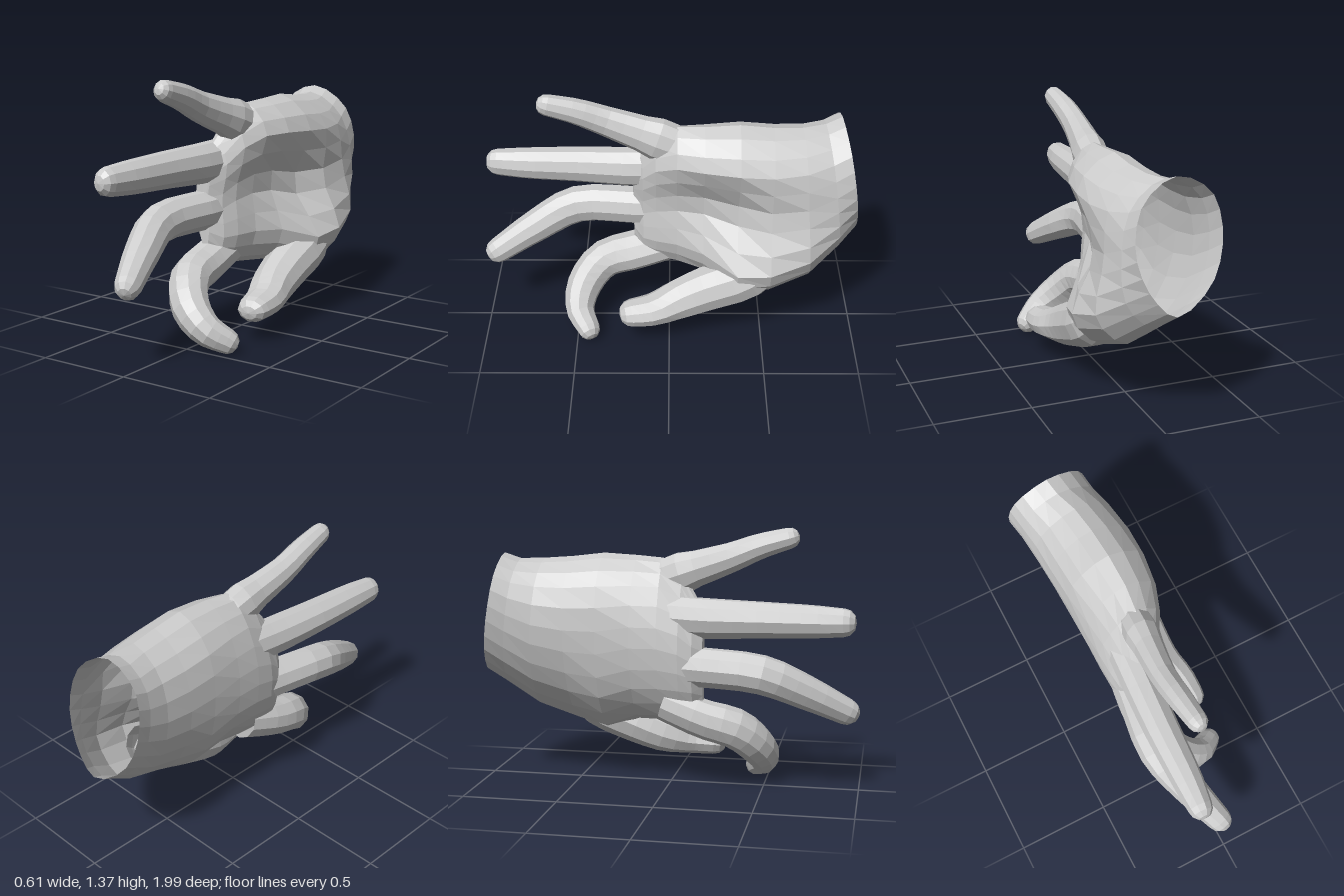
import * as THREE from 'three';

const V = (x, y, z) => new THREE.Vector3(x, y, z);
const material = new THREE.MeshStandardMaterial({ color: 0xcccccc, flatShading: true, side: THREE.DoubleSide });

// Skin a list of equal-length rings; the last ring is closed by a fan to the given tip.
function loft(name, rings, tip) {
  const n = rings[0].length;
  const index = [];
  for (let r = 0; r < rings.length - 1; r++) {
    for (let i = 0; i < n; i++) {
      const j = (i + 1) % n;
      const a = r * n + i, b = r * n + j, c = a + n, d = b + n;
      index.push(a, b, d, a, d, c);
    }
  }
  const last = (rings.length - 1) * n;
  for (let i = 0; i < n; i++) index.push(last + i, last + (i + 1) % n, rings.length * n);
  const geometry = new THREE.BufferGeometry().setFromPoints([...rings.flat(), tip]);
  geometry.setIndex(index);
  geometry.computeVertexNormals();
  const mesh = new THREE.Mesh(geometry, material);
  mesh.name = name;
  return mesh;
}

// Finger along a smooth path. Each joint: x, y, z, radius along ref, radius across it.
function finger(name, joints, ref, sides = 10, steps = 10) {
  const path = new THREE.CatmullRomCurve3(joints.map(([x, y, z]) => V(x, y, z)));
  const radii = new THREE.CatmullRomCurve3(joints.map((j) => V(j[3], j[4], 0)));
  const ring = (t, scale, push) => {
    const p = path.getPoint(t), dir = path.getTangent(t), r = radii.getPoint(t);
    const u = ref.clone().addScaledVector(dir, -ref.dot(dir)).normalize();
    const v = dir.clone().cross(u);
    p.addScaledVector(dir, push * Math.min(r.x, r.y));
    return Array.from({ length: sides }, (_, i) => {
      const a = (i / sides) * Math.PI * 2;
      return p.clone().addScaledVector(u, Math.cos(a) * r.x * scale).addScaledVector(v, Math.sin(a) * r.y * scale);
    });
  };
  const rings = [];
  for (let i = 0; i <= steps; i++) rings.push(ring(i / steps, 1, 0));
  // rounded fingertip
  rings.push(ring(1, 0.87, 0.5), ring(1, 0.52, 0.88));
  const end = joints[joints.length - 1];
  const tip = path.getPoint(1).addScaledVector(path.getTangent(1), Math.min(end[3], end[4]));
  return loft(name, rings, tip);
}

// Hand body cross-section: bottom and top height, then palm-side and back-side x (low, mid, high).
function palmRing([z, y0, y1, pl, pm, ph, bl, bm, bh, tilt], sides = 22) {
  const y = (f) => y0 + (y1 - y0) * f;
  const outline = [
    [pl * 0.6 + bl * 0.4, y(0)], [pl, y(0.18)], [pm, y(0.5)], [ph, y(0.83)],
    [ph * 0.5 + bh * 0.5, y(1)], [bh, y(0.86)], [bm, y(0.54)], [bl, y(0.2)],
  ].map(([px, py]) => V(px, py, z + tilt * (0.17 * (py - 0.9) - 0.08 * (px + 0.08))));
  const curve = new THREE.CatmullRomCurve3(outline, true, 'centripetal');
  return Array.from({ length: sides }, (_, i) => curve.getPoint(i / sides));
}

export function createModel() {
  const hand = new THREE.Group();
  hand.name = 'hand';

  // Wrist, palm and back of the hand, open at the wrist
  const stations = [
    [-0.94, 0.59, 1.23, 0.08, 0.15, 0.10, -0.24, -0.31, -0.26, 1],
    [-0.84, 0.51, 1.2, 0.16, 0.18, 0.12, -0.2, -0.285, -0.24, 0.8],
    [-0.7, 0.38, 1.2, 0.25, 0.21, 0.17, -0.15, -0.265, -0.21, 0.4],
    [-0.53, 0.3, 1.21, 0.295, 0.19, 0.2, -0.13, -0.25, -0.2, 0],
    [-0.36, 0.26, 1.23, 0.265, 0.1, 0.205, -0.15, -0.24, -0.19, 0],
    [-0.18, 0.34, 1.22, 0.14, 0.06, 0.18, -0.175, -0.235, -0.16, 0],
    [-0.04, 0.35, 1.21, 0.06, 0.04, 0.13, -0.185, -0.23, -0.14, 0],
    [0.07, 0.36, 1.14, 0.02, 0.01, 0.065, -0.185, -0.22, -0.13, 0],
    [0.14, 0.38, 1.03, -0.02, -0.03, 0.0, -0.175, -0.2, -0.14, 0],
    [0.19, 0.44, 0.95, -0.08, -0.09, -0.07, -0.14, -0.16, -0.13, 0],
  ];
  hand.add(loft('palm', stations.map((s) => palmRing(s)), V(-0.11, 0.7, 0.195)));

  // Fingers, from the topmost down
  const across = V(1, 0, 0);
  hand.add(finger('littleFinger', [
    [-0.01, 1.08, -0.08, 0.08, 0.1],
    [-0.025, 1.145, 0.1, 0.08, 0.1],
    [-0.045, 1.22, 0.32, 0.066, 0.08],
    [-0.04, 1.28, 0.47, 0.062, 0.068],
    [-0.03, 1.323, 0.62, 0.052, 0.056],
  ], across));
  hand.add(finger('ringFinger', [
    [-0.1, 0.92, -0.04, 0.09, 0.11],
    [-0.11, 0.91, 0.18, 0.095, 0.108],
    [-0.13, 0.912, 0.48, 0.09, 0.096],
    [-0.14, 0.912, 0.75, 0.08, 0.086],
    [-0.15, 0.912, 0.91, 0.063, 0.074],
  ], across));
  hand.add(finger('middleFinger', [
    [-0.1, 0.66, -0.04, 0.09, 0.11],
    [-0.13, 0.655, 0.2, 0.098, 0.105],
    [-0.165, 0.635, 0.5, 0.096, 0.103],
    [-0.1, 0.54, 0.72, 0.088, 0.09],
    [-0.02, 0.428, 0.93, 0.066, 0.07],
  ], across, 10, 12));
  hand.add(finger('indexFinger', [
    [-0.09, 0.45, -0.02, 0.09, 0.1],
    [-0.1, 0.375, 0.19, 0.1, 0.11],
    [-0.08, 0.325, 0.36, 0.108, 0.105],
    [0.0, 0.22, 0.465, 0.103, 0.098],
    [0.11, 0.128, 0.49, 0.087, 0.08],
    [0.205, 0.068, 0.44, 0.066, 0.063],
  ], V(0.7, 0.7, 0), 10, 13));

  // Thumb, growing out of the heel of the palm
  hand.add(finger('thumb', [
    [0.12, 0.47, -0.55, 0.1, 0.1],
    [0.14, 0.375, -0.4, 0.13, 0.13],
    [0.14, 0.3, -0.22, 0.125, 0.125],
    [0.155, 0.235, -0.06, 0.115, 0.11],
    [0.195, 0.195, 0.08, 0.105, 0.08],
    [0.21, 0.18, 0.2, 0.088, 0.07],
  ], across, 10, 12));

  return hand;
}
